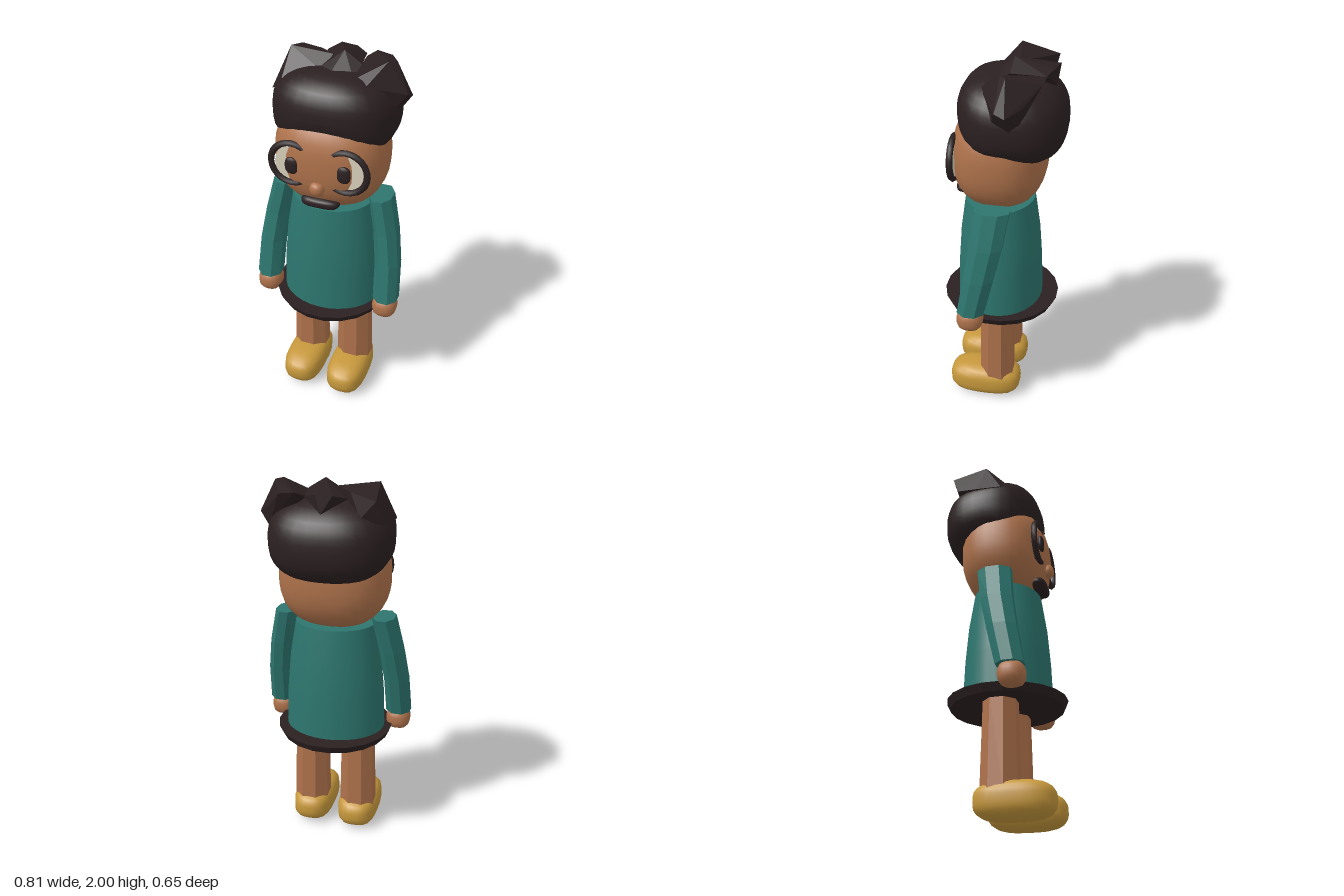
import * as THREE from 'three';
import { mergeVertices } from 'three/addons/utils/BufferGeometryUtils.js';
import { ConvexGeometry } from 'three/addons/geometries/ConvexGeometry.js';

function material(name, color) {
  const m = new THREE.MeshStandardMaterial({ color });
  m.name = name;
  return m;
}

// Squared-off ellipsoid: n = 2 is round, larger n is boxier
function blob(rx, ry, rz, n, w = 32, h = 20) {
  const g = new THREE.SphereGeometry(1, w, h);
  const p = g.attributes.position;
  for (let i = 0; i < p.count; i++) {
    const x = p.getX(i), y = p.getY(i), z = p.getZ(i);
    const k = Math.pow(Math.abs(x) ** n + Math.abs(y) ** n + Math.abs(z) ** n, -1 / n);
    p.setXYZ(i, x * k * rx, y * k * ry, z * k * rz);
  }
  g.deleteAttribute('uv');
  g.deleteAttribute('normal');
  const merged = mergeVertices(g, 1e-5);
  merged.computeVertexNormals();
  return merged;
}

// Give every face its own normal
function faceted(g) {
  const f = g.index ? g.toNonIndexed() : g;
  f.computeVertexNormals();
  return f;
}

// Closed faceted tube through elliptical rings [y, cx, rx, cz, rz], top to bottom
function loft(rings, sides) {
  const pos = [], idx = [];
  for (const [y, cx, rx, cz, rz] of rings) {
    for (let j = 0; j < sides; j++) {
      const a = ((j + 0.5) / sides) * Math.PI * 2;
      pos.push(cx + rx * Math.cos(a), y, cz + rz * Math.sin(a));
    }
  }
  for (let i = 0; i < rings.length - 1; i++) {
    for (let j = 0; j < sides; j++) {
      const a = i * sides + j, b = i * sides + ((j + 1) % sides);
      idx.push(a, b, a + sides, b, b + sides, a + sides);
    }
  }
  const last = (rings.length - 1) * sides;
  for (let j = 1; j < sides - 1; j++) {
    idx.push(0, j + 1, j, last, last + j, last + j + 1);
  }
  const g = new THREE.BufferGeometry();
  g.setAttribute('position', new THREE.Float32BufferAttribute(pos, 3));
  g.setIndex(idx);
  return faceted(g);
}

export function createModel() {
  const root = new THREE.Group();
  root.name = 'figure';
  const skin = material('skin', 0xae724b);
  const hairDark = material('dark brown', 0x2b2021);
  const teal = material('teal knit', 0x2d756e);
  const mustard = material('mustard', 0xc6983c);
  const cream = material('cream', 0xd8d0ba);

  function add(name, geometry, mat, x = 0, y = 0, z = 0) {
    const m = new THREE.Mesh(geometry, mat);
    m.name = name;
    m.position.set(x, y, z);
    root.add(m);
    return m;
  }

  // Head and face
  add('head', blob(0.29, 0.27, 0.24, 2.5), skin, 0, 1.5, 0.01);
  add('nose', blob(0.037, 0.035, 0.037, 2.8, 12, 8), skin, 0, 1.4, 0.24);
  add('moustache', blob(0.1, 0.027, 0.042, 3.2, 20, 10), hairDark, 0, 1.3, 0.198);

  // Hair cap: front sheared upward, with the front hairline arched over the brow
  const cap = blob(0.315, 0.208, 0.27, 2.6);
  const cp = cap.attributes.position;
  for (let i = 0; i < cp.count; i++) {
    const x = cp.getX(i), y = cp.getY(i), z = cp.getZ(i);
    const arch = Math.sqrt(Math.max(0, -y / 0.208)) * Math.max(0, z / 0.27);
    cp.setY(i, y + 0.1 * z + (0.06 - 1.5 * x * x) * arch);
  }
  cap.computeVertexNormals();
  add('hairCap', cap, hairDark, 0, 1.713, -0.054);

  // Chunky tufts on the crown
  const tufts = {
    rightTuft: [
      [-0.32, 1.8, -0.19], [-0.24, 1.99, -0.05], [-0.26, 1.93, -0.24], [-0.18, 1.84, -0.22],
      [-0.12, 1.95, -0.16], [-0.035, 1.965, -0.075], [-0.06, 1.9, 0.0], [-0.16, 1.87, 0.04],
      [-0.25, 1.84, 0.08], [-0.305, 1.8, 0.05], [-0.315, 1.8, -0.09],
    ],
    middleTuft: [
      [-0.11, 1.93, -0.21], [-0.06, 1.95, -0.27], [0.03, 1.95, -0.25], [0.09, 1.93, -0.22],
      [0.03, 2.0, -0.06], [0.12, 1.945, -0.05], [-0.1, 1.9, 0], [-0.02, 1.89, 0.07],
      [0.1, 1.9, 0.02], [0, 1.86, -0.26],
    ],
    leftTuft: [
      [0.1, 1.93, -0.19], [0.14, 1.95, -0.23], [0.22, 1.94, -0.22], [0.255, 1.985, -0.03],
      [0.29, 1.98, -0.06], [0.37, 1.82, -0.07], [0.31, 1.73, -0.08], [0.36, 1.84, -0.02],
      [0.18, 1.89, 0.08], [0.1, 1.9, 0.05], [0.31, 1.85, -0.14], [0.3, 1.77, -0.13],
      [0.31, 1.78, 0.0],
    ],
  };
  for (const [name, pts] of Object.entries(tufts)) {
    add(name, faceted(new ConvexGeometry(pts.map((p) => new THREE.Vector3(...p)))), hairDark);
  }

  // Tunic, flaring toward the hem, its top tucked under the chin
  const profile = [[0.275, 0.62], [0.266, 0.85], [0.248, 1.05], [0.215, 1.245]]
    .map(([r, y]) => new THREE.Vector2(r, y));
  const tunic = add('tunic', new THREE.LatheGeometry(profile, 32), teal, 0, 0, 0.015);
  tunic.scale.z = 0.85;
  const collar = new THREE.CircleGeometry(0.215, 32);
  collar.rotateX(-Math.PI / 2);
  add('tunicTop', collar, teal, 0, 1.245, 0.015).scale.z = 0.85;

  // Flat hem disc
  const hem = new THREE.CylinderGeometry(0.318, 0.298, 0.042, 20);
  hem.rotateY(Math.PI / 20);
  add('hem', faceted(hem), hairDark, 0, 0.62, 0.01);

  // Paired parts, s = +1 is the figure's left
  for (const s of [1, -1]) {
    const side = s > 0 ? 'left' : 'right';

    // Eyes and round glasses, half sunk into the face
    const white = new THREE.CylinderGeometry(0.1, 0.1, 0.009, 28);
    white.rotateX(Math.PI / 2);
    white.scale(0.88, 1, 1);
    add(side + 'EyeWhite', white, cream, s * 0.14, 1.5, 0.217);
    add(side + 'Pupil', blob(0.034, 0.045, 0.016, 2.7, 16, 10), hairDark, s * 0.135, 1.5, 0.236);
    const rim = new THREE.TorusGeometry(0.109, 0.017, 6, 24);
    add(side + 'GlassesRim', rim, hairDark, s * 0.14, 1.505, 0.223);

    // Sleeve and hand
    const sleeve = [
      [1.29, s * 0.262, 0.064, 0.01, 0.097],
      [1.1, s * 0.303, 0.067, 0.035, 0.09],
      [0.92, s * 0.329, 0.069, 0.07, 0.084],
      [0.71, s * 0.339, 0.071, 0.113, 0.077],
    ];
    add(side + 'Sleeve', loft(sleeve, 8), teal);
    add(side + 'Hand', blob(0.066, 0.062, 0.07, 2.7, 16, 12), skin, s * 0.337, 0.66, 0.12);

    // Leg and shoe
    const leg = [
      [0.62, s * 0.132, 0.093, 0.01, 0.092],
      [0.12, s * 0.136, 0.105, 0.01, 0.102],
    ];
    add(side + 'Leg', loft(leg, 8), skin);
    add(side + 'Shoe', blob(0.113, 0.094, 0.204, 3, 24, 16), mustard, s * 0.133, 0.094, 0.081);
  }
  return root;
}
